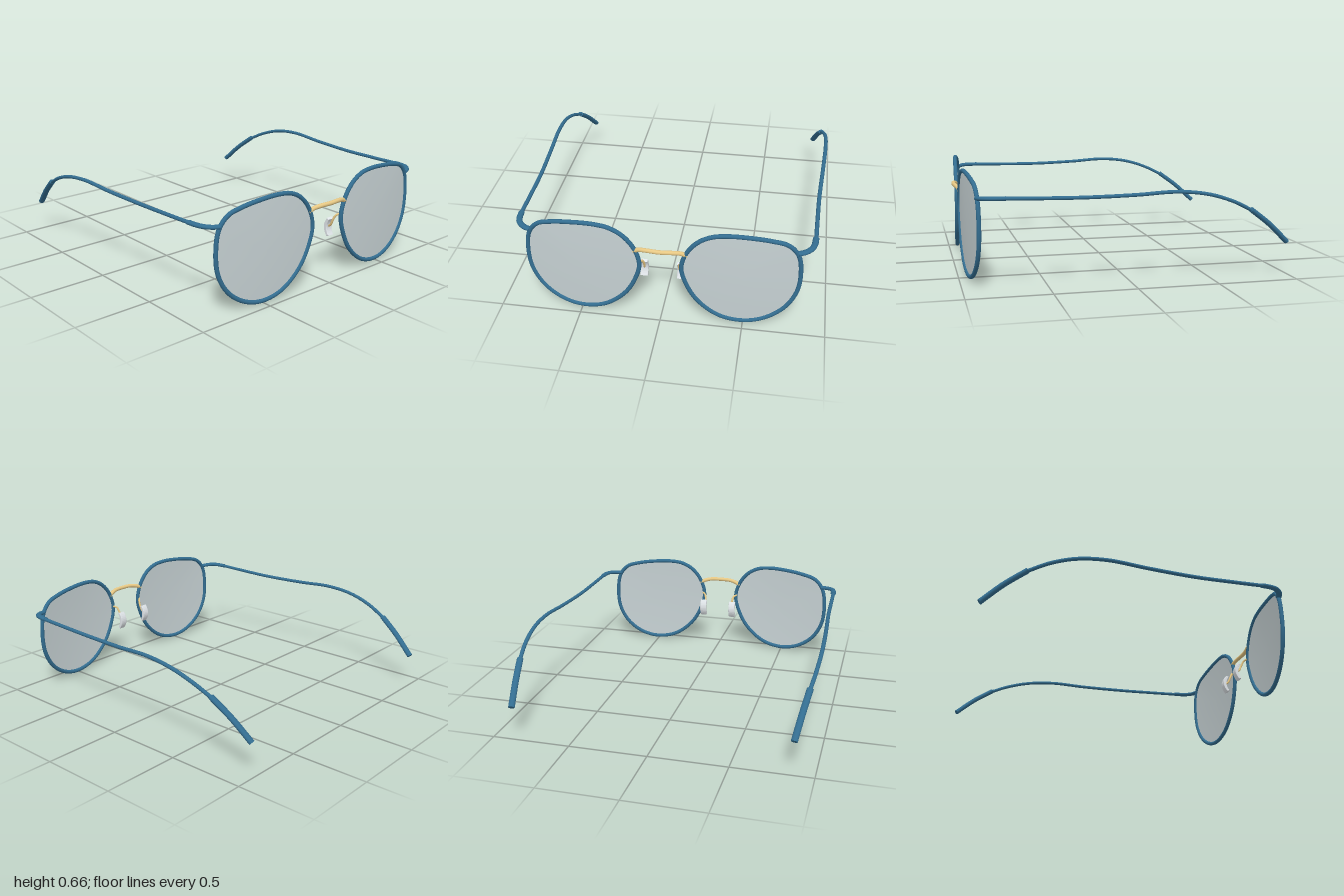
import * as THREE from 'three';

const mat = (name, color, side = THREE.FrontSide) =>
  Object.assign(new THREE.MeshStandardMaterial({ color, side }), { name });

// Wrap of the front: rims and lenses follow this shallow curve
const frontZ = (x) => 0.96 - 0.09 * x * x;

const rimOutline = [
  [0.4, 0.649], [0.52, 0.643], [0.65, 0.624], [0.745, 0.594], [0.803, 0.525], [0.825, 0.4],
  [0.812, 0.255], [0.747, 0.132], [0.635, 0.047], [0.505, 0.017], [0.355, 0.05], [0.22, 0.162],
  [0.147, 0.3], [0.126, 0.4], [0.155, 0.505], [0.222, 0.592], [0.305, 0.637],
];

const curveOf = (points, s = 1, closed = false) =>
  new THREE.CatmullRomCurve3(points.map(([x, y, z]) => new THREE.Vector3(s * x, y, z)), closed);

// Sweeps an ellipse (width, height) on a curve, with flat end caps
function sweep(curve, steps, w, h, sides = 14) {
  const pos = [], index = [];
  const up = new THREE.Vector3(0, 1, 0);
  const ring = (t) => {
    const p = curve.getPointAt(t), d = curve.getTangentAt(t);
    const across = new THREE.Vector3().crossVectors(up, d).normalize();
    const high = new THREE.Vector3().crossVectors(d, across);
    for (let j = 0; j < sides; j++) {
      const a = (j / sides) * Math.PI * 2;
      const v = p.clone().addScaledVector(across, w * Math.cos(a)).addScaledVector(high, h * Math.sin(a));
      pos.push(v.x, v.y, v.z);
    }
    return p;
  };
  for (let i = 0; i <= steps; i++) ring(i / steps);
  for (let i = 0; i < steps; i++) {
    for (let j = 0; j < sides; j++) {
      const a = i * sides + j, b = i * sides + ((j + 1) % sides);
      index.push(a, b, a + sides, b, b + sides, a + sides);
    }
  }
  for (const t of [0, 1]) {
    const first = pos.length / 3;
    const p = ring(t);
    pos.push(p.x, p.y, p.z);
    for (let j = 0; j < sides; j++) {
      const a = first + j, b = first + ((j + 1) % sides);
      index.push(first + sides, ...(t ? [a, b] : [b, a]));
    }
  }
  return finish(pos, index);
}

function finish(pos, index) {
  const g = new THREE.BufferGeometry();
  g.setAttribute('position', new THREE.Float32BufferAttribute(pos, 3));
  g.setIndex(index);
  g.computeVertexNormals();
  return g;
}

// Curved lens made of concentric copies of the rim outline
function lensGeometry(curve, s) {
  const n = 80, rings = 8, pos = [], index = [];
  const cx = 0.48 * s, cy = 0.34;
  for (let r = 0; r <= rings; r++) {
    for (let i = 0; i < n; i++) {
      const p = curve.getPoint(i / n), k = r / rings;
      const x = cx + (p.x - cx) * k, y = cy + (p.y - cy) * k;
      pos.push(x, y, frontZ(x) + 0.006 * (1 - k * k));
    }
  }
  for (let r = 0; r < rings; r++) {
    for (let i = 0; i < n; i++) {
      const a = r * n + i, b = r * n + ((i + 1) % n);
      // The outline runs clockwise on the left, so wind each side to face +z
      if (s > 0) index.push(a, b, a + n, b, b + n, a + n);
      else index.push(a, a + n, b, b, a + n, b + n);
    }
  }
  return finish(pos, index);
}

// Crescent nose pad, bowed towards the back
function padGeometry() {
  const shape = new THREE.Shape();
  shape.moveTo(-0.892, 0.364);
  shape.quadraticCurveTo(-0.856, 0.312, -0.892, 0.26);
  shape.lineTo(-0.88, 0.254);
  shape.quadraticCurveTo(-0.834, 0.312, -0.88, 0.37);
  shape.closePath();
  const g = new THREE.ExtrudeGeometry(shape, {
    depth: 0.036, bevelEnabled: true, bevelThickness: 0.006, bevelSize: 0.003, bevelSegments: 2, curveSegments: 10,
  });
  g.translate(0, 0, -0.018);
  return g.rotateY(Math.PI / 2); // shape x becomes -z, depth becomes x
}

export function createModel() {
  const model = new THREE.Group();
  model.name = 'glasses';
  const blue = mat('blue frame', 0x336d90);
  const gold = mat('gold metal', 0xe8c985);
  const tint = mat('grey lens', 0xc6d1d3, THREE.DoubleSide);
  const clear = mat('pale pad', 0xe2e7eb);
  const add = (name, geometry, material) => {
    const m = new THREE.Mesh(geometry, material);
    m.name = name;
    model.add(m);
    return m;
  };

  for (const [side, s] of [['left', 1], ['right', -1]]) {
    // Rim and lens
    const outline = curveOf(rimOutline.map(([x, y]) => [x, y, frontZ(x)]), s, true);
    add(side + 'Rim', new THREE.TubeGeometry(outline, 120, 0.0135, 12, true), blue);
    add(side + 'Lens', lensGeometry(outline, s), tint);

    // Endpiece bending from rim to hinge
    const end = curveOf([[0.8, 0.538, 0.903], [0.84, 0.541, 0.888], [0.877, 0.545, 0.853],
      [0.892, 0.546, 0.81], [0.898, 0.546, 0.75]], s);
    add(side + 'Endpiece', sweep(end, 24, 0.019, 0.013), blue);

    // Temple arm
    const arm = curveOf([[0.898, 0.546, 0.78], [0.903, 0.541, 0.55], [0.91, 0.538, 0.3], [0.927, 0.545, 0],
      [0.94, 0.557, -0.25], [0.943, 0.537, -0.44], [0.934, 0.488, -0.6], [0.915, 0.42, -0.74]], s);
    add(side + 'Temple', sweep(arm, 60, 0.013, 0.011), blue);

    // Thicker sleeve over the temple end
    const tip = curveOf([[0.917, 0.43, -0.725], [0.894, 0.333, -0.855], [0.87, 0.213, -0.985]], s);
    add(side + 'TempleTip', sweep(tip, 16, 0.021, 0.016), blue);

    // Nose pad and its wire
    const wire = curveOf([[0.135, 0.41, 0.948], [0.115, 0.4, 0.93], [0.106, 0.365, 0.912],
      [0.108, 0.33, 0.895], [0.113, 0.312, 0.868]], s);
    add(side + 'PadArm', new THREE.TubeGeometry(wire, 24, 0.007, 8), gold);
    add(side + 'NosePad', padGeometry(), clear).position.x = 0.113 * s;
  }

  // Bridge
  const bridge = curveOf([[-0.158, 0.49, 0.956], [-0.125, 0.507, 0.964], [-0.075, 0.517, 0.978], [0, 0.518, 0.985],
    [0.075, 0.517, 0.978], [0.125, 0.507, 0.964], [0.158, 0.49, 0.956]]);
  add('bridge', new THREE.TubeGeometry(bridge, 40, 0.0135, 12), gold);

  return model;
}
